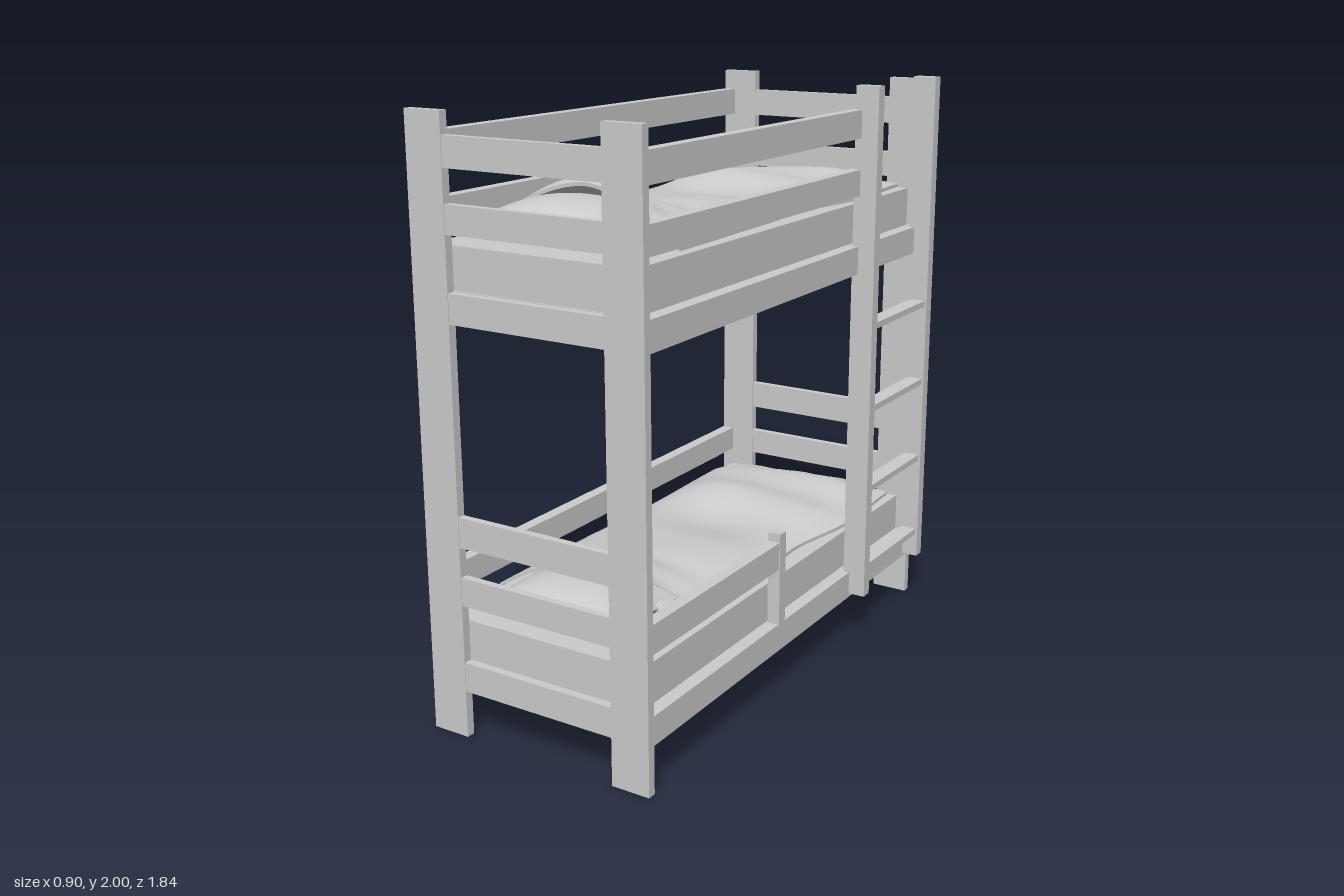
import * as THREE from 'three';

const CX = -0.0325; // centre of the bed frame, the ladder sits outside it
const wood = new THREE.MeshStandardMaterial({ color: 0xcccccc });
const cloth = new THREE.MeshStandardMaterial({ color: 0xcccccc, side: THREE.DoubleSide });

// box given by its limits on each axis
function board(parent, name, [x0, x1], [y0, y1], [z0, z1]) {
  const mesh = new THREE.Mesh(new THREE.BoxGeometry(x1 - x0, y1 - y0, z1 - z0), wood);
  mesh.position.set((x0 + x1) / 2, (y0 + y1) / 2, (z0 + z1) / 2);
  mesh.name = name;
  parent.add(mesh);
  return mesh;
}

// smooth interpolation through [position, value] pairs
function along(points, t) {
  if (t <= points[0][0]) return points[0][1];
  for (let i = 1; i < points.length; i++) {
    const [a, va] = points[i - 1], [b, vb] = points[i];
    if (t <= b) return va + (vb - va) * THREE.MathUtils.smoothstep(t, a, b);
  }
  return points[points.length - 1][1];
}

// plump cushion with a pinched seam and pointed corners
function pillow(y) {
  const parts = new THREE.Group();
  for (const side of [1, -1]) {
    const geo = new THREE.PlaneGeometry(2, 2, 20, 16);
    const p = geo.attributes.position;
    for (let i = 0; i < p.count; i++) {
      const u = p.getX(i), v = p.getY(i);
      const puff = Math.pow(Math.max(0, (1 - u * u) * (1 - v * v)), 0.45);
      const h = 0.07 + (side > 0 ? 0.085 : -0.065) * puff;
      p.setXYZ(i,
        -0.015 + 0.245 * u * (1 - 0.06 * (1 - v * v)),
        h,
        0.695 - 0.19 * v * (1 - 0.03 * Math.cos(u * 3)));
    }
    if (side < 0) geo.index.array.reverse();
    geo.computeVertexNormals();
    parts.add(new THREE.Mesh(geo, cloth));
  }
  parts.position.y = y;
  parts.name = 'pillow';
  return parts;
}

// blanket: a draped sheet, high over the pillow and gently rumpled to the foot
function blanket(y, fullness) {
  const ridge = [[-0.85, 0.03], [-0.73, 0.07], [-0.58, 0.062], [-0.43, 0.082], [-0.2, 0.045],
    [0.1, 0.07], [0.3, 0.085], [0.45, 0.135], [0.58, 0.185], [0.64, 0.165]];
  const rightEdge = [[-0.85, 0.31], [-0.5, 0.325], [-0.15, 0.28], [0.1, 0.3], [0.63, 0.315]];
  const leftEdge = [[-0.85, -0.355], [-0.74, -0.4], [-0.2, -0.388], [0.2, -0.4], [0.63, -0.4]];
  const geo = new THREE.BoxGeometry(2, 1, 2, 28, 1, 44);
  const p = geo.attributes.position;
  for (let i = 0; i < p.count; i++) {
    const u = p.getX(i), v = p.getZ(i);
    const z = THREE.MathUtils.mapLinear(v, -1, 1, -0.85, 0.615);
    const l = along(leftEdge, z), r = along(rightEdge, z);
    const x = l + (r - l) * (u + 1) / 2;
    const head = THREE.MathUtils.smoothstep(z, 0.1, 0.55);
    const dome = 1 - Math.pow(Math.abs(u), 4 - 2.3 * head);
    const rumple = 0.005 * (Math.sin(9 * x + 7 * z) + Math.sin(13 * z - 6 * x)) * dome;
    const h = 0.018 + (along(ridge, z) * (1 + (fullness - 1) * head) - 0.018) * dome + rumple;
    const hem = v > 0 ? -0.02 * Math.cos(u * 2.6) * v ** 4 : 0.006 * Math.sin(u * 11) * v ** 4;
    p.setXYZ(i, x, p.getY(i) > 0 ? h : h - 0.012, z + hem);
  }
  geo.computeVertexNormals();
  const mesh = new THREE.Mesh(geo, cloth);
  mesh.position.y = y;
  mesh.name = 'blanket';
  return mesh;
}

// one sleeping level: base, mattress and bedding
function bunk(name, y, fullness) {
  const level = new THREE.Group();
  level.name = name;
  board(level, 'base', [-0.45, 0.385], [y, y + 0.097], [-0.892, 0.892]);
  board(level, 'mattress', [-0.405, 0.338], [y + 0.097, y + 0.233], [-0.885, 0.885]);
  level.add(pillow(y + 0.228), blanket(y + 0.232, fullness));
  return level;
}

export function createModel() {
  const model = new THREE.Group();
  model.name = 'bunkBed';
  const leftSide = [0.345, 0.385], rightSide = [-0.45, -0.407];

  // end frames: two flat posts joined by cross boards
  for (const s of [-1, 1]) {
    const end = new THREE.Group();
    end.name = s > 0 ? 'headEnd' : 'footEnd';
    const posts = [s * 0.905 - 0.015, s * 0.905 + 0.015];
    const cross = [s * 0.905 - 0.013, s * 0.905 + 0.013];
    board(end, 'post', [-0.45, -0.315], [0, 1.99], posts);
    board(end, 'post', [0.25, 0.385], [0, 1.99], posts);
    for (const y of [[0.16, 0.26], [0.455, 0.55], [0.65, 0.75], [1.36, 1.455], [1.63, 1.72], [1.825, 1.92]])
      board(end, 'crossBoard', [-0.316, 0.251], y, cross);
    model.add(end);
  }

  model.add(bunk('lowerBunk', 0.16, 0.87), bunk('upperBunk', 1.36, 1));

  // guard rails, shorter on the ladder side
  board(model, 'lowerGuardRail', rightSide, [0.455, 0.545], [-0.89, 0.89]);
  board(model, 'lowerGuardRail', leftSide, [0.455, 0.55], [0.12, 0.89]);
  board(model, 'guardRailPost', [0.343, 0.388], [0.25, 0.58], [0.1, 0.14]);
  for (const y of [[1.63, 1.72], [1.825, 1.92]]) {
    board(model, 'upperGuardRail', rightSide, y, [-0.89, 0.89]);
    board(model, 'upperGuardRail', leftSide, y, [-0.41, 0.89]);
  }

  // ladder
  const ladder = new THREE.Group();
  ladder.name = 'ladder';
  for (const z of [-0.41, -0.872]) board(ladder, 'ladderRail', [0.362, 0.446], [0.175, 2], [z - 0.021, z + 0.021]);
  for (const y of [0.275, 0.575, 0.875, 1.175])
    board(ladder, 'rung', [0.38, 0.438], [y - 0.011, y + 0.011], [-0.855, -0.425]);
  model.add(ladder);

  return model;
}
